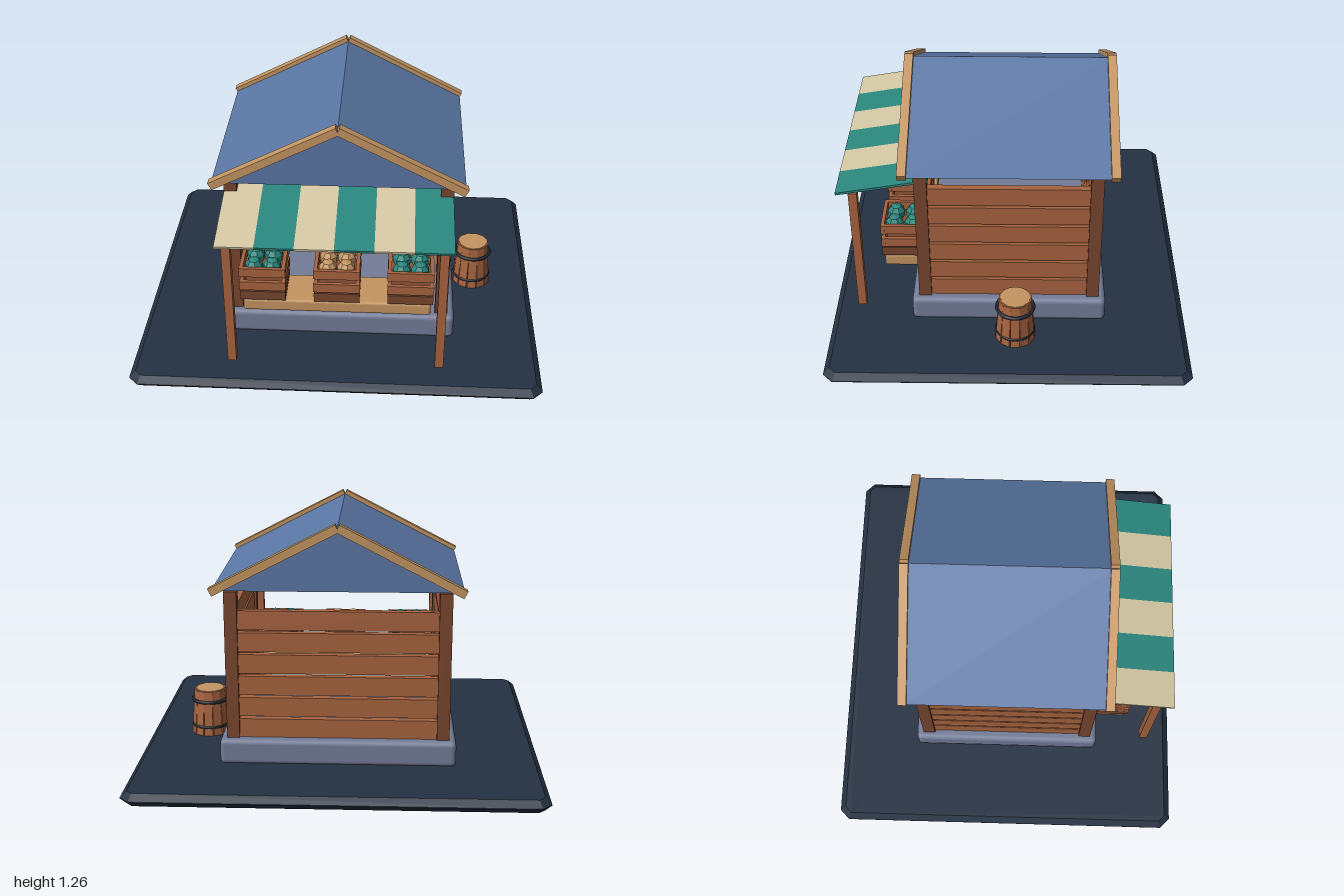
import * as THREE from 'three';
import { RoundedBoxGeometry } from 'three/addons/geometries/RoundedBoxGeometry.js';

const mat = (name, color, flat = false) => {
  const m = new THREE.MeshStandardMaterial({ color, flatShading: flat });
  m.name = name;
  return m;
};

export function createModel() {
  const model = new THREE.Group();
  model.name = 'marketStall';
  const slate = mat('slate ground', 0x253142, true);
  const stone = mat('blue grey stone', 0x747d98);
  const wood = mat('warm wood', 0xa86440, true);
  const darkWood = mat('dark wood', 0x78462f, true);
  const paleWood = mat('pale wood', 0xc49562, true);
  const roofBlue = mat('roof blue', 0x5a76a4, true);
  const teal = mat('teal', 0x2a877e, true);
  const cream = mat('cream', 0xd5c9a5, true);
  const iron = mat('dark iron', 0x1f2631);

  const add = (name, geo, material, x, y, z, parent = model) => {
    const mesh = new THREE.Mesh(geo, material);
    mesh.name = name;
    mesh.position.set(x, y, z);
    parent.add(mesh);
    return mesh;
  };
  const box = (name, material, w, h, d, x, y, z, parent) =>
    add(name, new THREE.BoxGeometry(w, h, d), material, x, y, z, parent);
  const extrude = (points, depth, bevel = 0) =>
    new THREE.ExtrudeGeometry(new THREE.Shape(points.map(p => new THREE.Vector2(...p))), {
      depth, bevelEnabled: bevel > 0, bevelThickness: bevel, bevelSize: bevel, bevelSegments: 1,
    });

  // Ground slab with chamfered rim and cut corners
  const gx = 0.97, gz = 0.855, c = 0.03;
  const ground = add('ground', extrude([
    [-gx + c, -gz], [gx - c, -gz], [gx, -gz + c], [gx, gz - c],
    [gx - c, gz], [-gx + c, gz], [-gx, gz - c], [-gx, -gz + c],
  ], 0.004, 0.03), slate, 0, 0.03, 0);
  ground.rotation.x = -Math.PI / 2;

  add('foundation', new RoundedBoxGeometry(1.16, 0.13, 0.965, 3, 0.025), stone, 0, 0.12, 0);

  // Corner posts and awning poles
  for (const s of [-1, 1]) {
    for (const z of [-0.417, 0.417]) box('cornerPost', darkWood, 0.062, 0.745, 0.062, s * 0.515, 0.5525, z);
    box('awningPole', wood, 0.042, 0.69, 0.042, s * 0.502, 0.445, 0.742);
  }

  // Plank walls at the sides and back, front left open
  for (let i = 0; i < 6; i++) {
    const y = 0.232 + i * 0.11;
    for (const s of [-1, 1]) box('sidePlank', wood, 0.035, 0.096, 0.79, s * 0.515, y, 0);
    box('backPlank', wood, 0.98, 0.096, 0.035, 0, y, -0.417);
  }

  // Gabled roof with sloping trim at both ends
  add('roof', extrude([[-0.6, 0.938], [0.6, 0.938], [0, 1.245]], 0.96), roofBlue, 0, 0, -0.48);
  const slope = Math.atan2(0.31, 0.6);
  for (const s of [-1, 1]) {
    for (const z of [-0.495, 0.495]) {
      box('roofTrim', paleWood, 0.675, 0.04, 0.043, s * 0.301, 1.092, z).rotation.z = -s * slope;
    }
  }

  // Striped awning
  const awning = new THREE.Group();
  awning.name = 'awning';
  awning.position.set(0, 0.842, 0.6);
  awning.rotation.x = Math.atan2(0.078, 0.44);
  model.add(awning);
  for (let i = 0; i < 6; i++) {
    box('awningStripe', i % 2 ? teal : cream, 0.1817, 0.012, 0.445, (i - 2.5) * 0.1817, 0, 0, awning);
  }

  // Counter carrying three crates of produce
  add('counter', new RoundedBoxGeometry(0.91, 0.065, 0.22, 2, 0.012), paleWood, 0, 0.333, 0.51);
  [-0.357, 0, 0.355].forEach((x, n) => {
    const crate = new THREE.Group();
    crate.name = 'crate';
    crate.position.set(x, 0, 0.52);
    model.add(crate);
    box('crateBase', darkWood, 0.22, 0.048, 0.22, 0, 0.398, 0, crate);
    for (const y of [0.453, 0.53]) {
      for (const s of [-1, 1]) {
        box('crateSlat', wood, 0.224, 0.048, 0.018, 0, y, s * 0.101, crate);
        box('crateSlat', wood, 0.018, 0.048, 0.19, s * 0.101, y, 0, crate);
      }
    }
    for (const sx of [-1, 1]) {
      for (const sz of [-1, 1]) {
        add('produce', new THREE.SphereGeometry(0.046, 7, 5), n === 1 ? paleWood : teal,
          sx * 0.044, 0.528, sz * 0.046, crate);
      }
    }
  });

  // Barrel of leaning staves with two hoops and a lid
  const barrel = new THREE.Group();
  barrel.name = 'barrel';
  barrel.position.set(0.69, 0, -0.033);
  model.add(barrel);
  add('barrelCore', new THREE.CylinderGeometry(0.07, 0.088, 0.23, 12), wood, 0, 0.178, 0, barrel);
  for (let i = 0; i < 12; i++) {
    const stave = new THREE.Group();
    stave.rotation.y = i * Math.PI / 6;
    barrel.add(stave);
    box('stave', wood, 0.044, 0.237, 0.014, 0, 0.18, 0.081, stave).rotation.x = -0.08;
  }
  add('barrelLid', new THREE.CylinderGeometry(0.074, 0.074, 0.012, 12), paleWood, 0, 0.296, 0, barrel);
  for (const y of [0.108, 0.244]) {
    add('barrelHoop', new THREE.TorusGeometry(0.09, 0.009, 8, 28), iron, 0, y, 0, barrel).rotation.x = Math.PI / 2;
  }
  return model;
}
